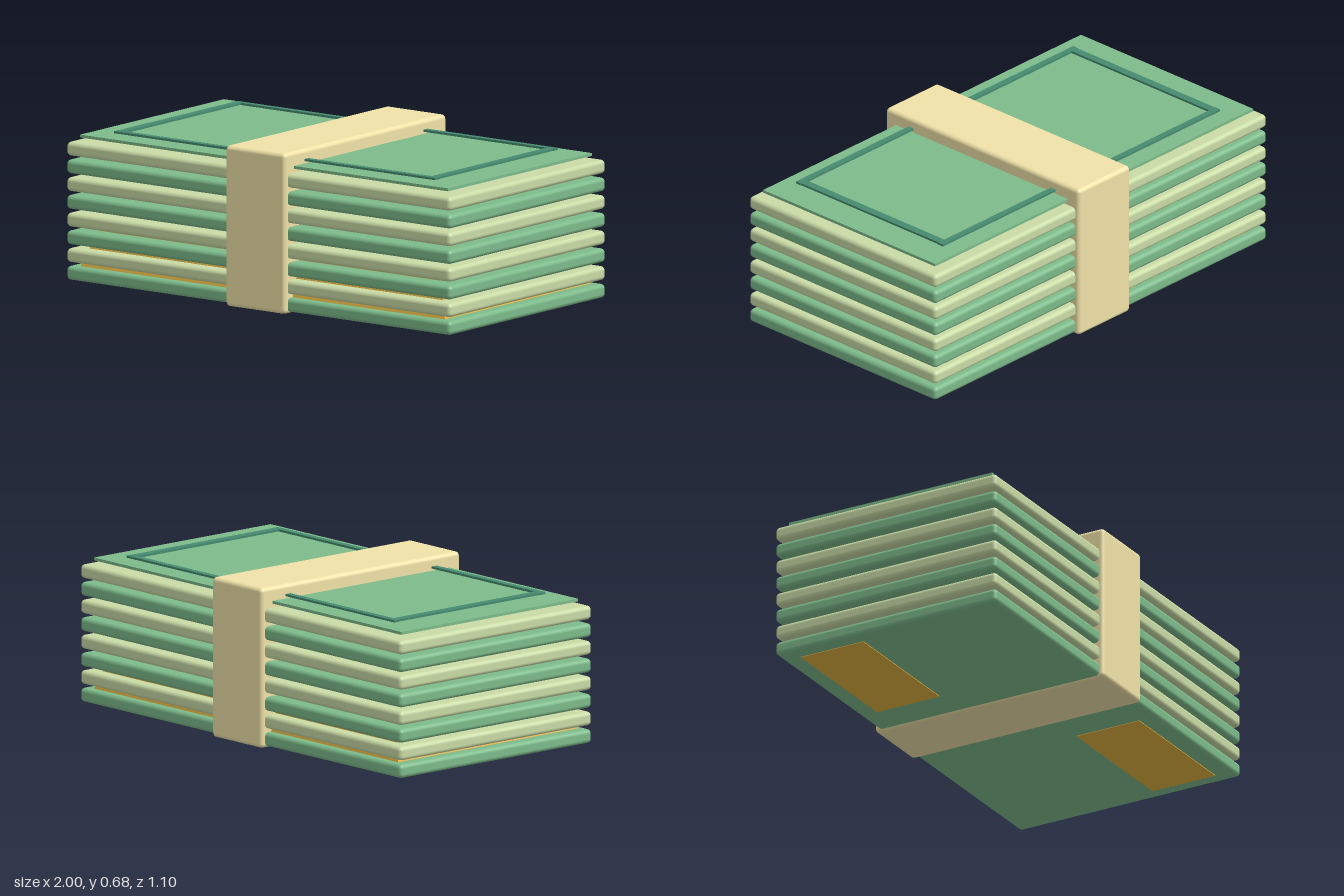
import * as THREE from 'three';
import { RoundedBoxGeometry } from 'three/addons/geometries/RoundedBoxGeometry.js';

const material = (color) => new THREE.MeshStandardMaterial({ color });

export function createModel() {
  const group = new THREE.Group();
  const green = material(0x7dbb8b);
  const paleGreen = material(0xc9dba6);
  const darkGreen = material(0x468a70);
  const gold = material(0xe3b341);
  const cream = material(0xf0e2a8);

  const add = (name, geometry, mat, x, y, z) => {
    const mesh = new THREE.Mesh(geometry, mat);
    mesh.name = name;
    mesh.position.set(x, y, z);
    group.add(mesh);
    return mesh;
  };

  // Stack of eight rounded bundles in alternating greens
  const bundle = new RoundedBoxGeometry(2, 0.058, 1.056, 3, 0.018);
  for (let i = 0; i < 8; i++) {
    add('bundle' + (i + 1), bundle, i % 2 ? paleGreen : green, 0, 0.039 + i * 0.0745, 0);
  }

  // Tapered core seen in the gaps between bundles
  const coreHeight = 0.49;
  const core = new THREE.BoxGeometry(1, coreHeight, 1);
  const pos = core.attributes.position;
  for (let i = 0; i < pos.count; i++) {
    const top = pos.getY(i) > 0;
    pos.setX(i, Math.sign(pos.getX(i)) * (top ? 0.765 : 0.955));
    pos.setZ(i, Math.sign(pos.getZ(i)) * (top ? 0.352 : 0.5));
  }
  core.computeVertexNormals();
  add('core', core, gold, 0, 0.05 + coreHeight / 2, 0);

  // Diagonally opposite patches on the underside
  for (const s of [1, -1]) {
    add('undersidePatch', new THREE.BoxGeometry(0.62, 0.006, 0.3), gold, s * 0.62, 0.01, s * 0.295);
  }

  // Top sheet and its raised border
  add('topSheet', new THREE.BoxGeometry(1.915, 0.012, 0.972), green, 0, 0.612, 0);
  for (const s of [1, -1]) {
    add('borderLong', new THREE.BoxGeometry(1.67, 0.009, 0.027), darkGreen, 0, 0.632, s * 0.402);
    add('borderShort', new THREE.BoxGeometry(0.035, 0.009, 0.78), darkGreen, s * 0.815, 0.632, 0);
  }

  // Wrapping band around the middle
  add('band', new RoundedBoxGeometry(0.312, 0.675, 1.095, 4, 0.018), cream, 0, 0.3395, 0);

  return group;
}
